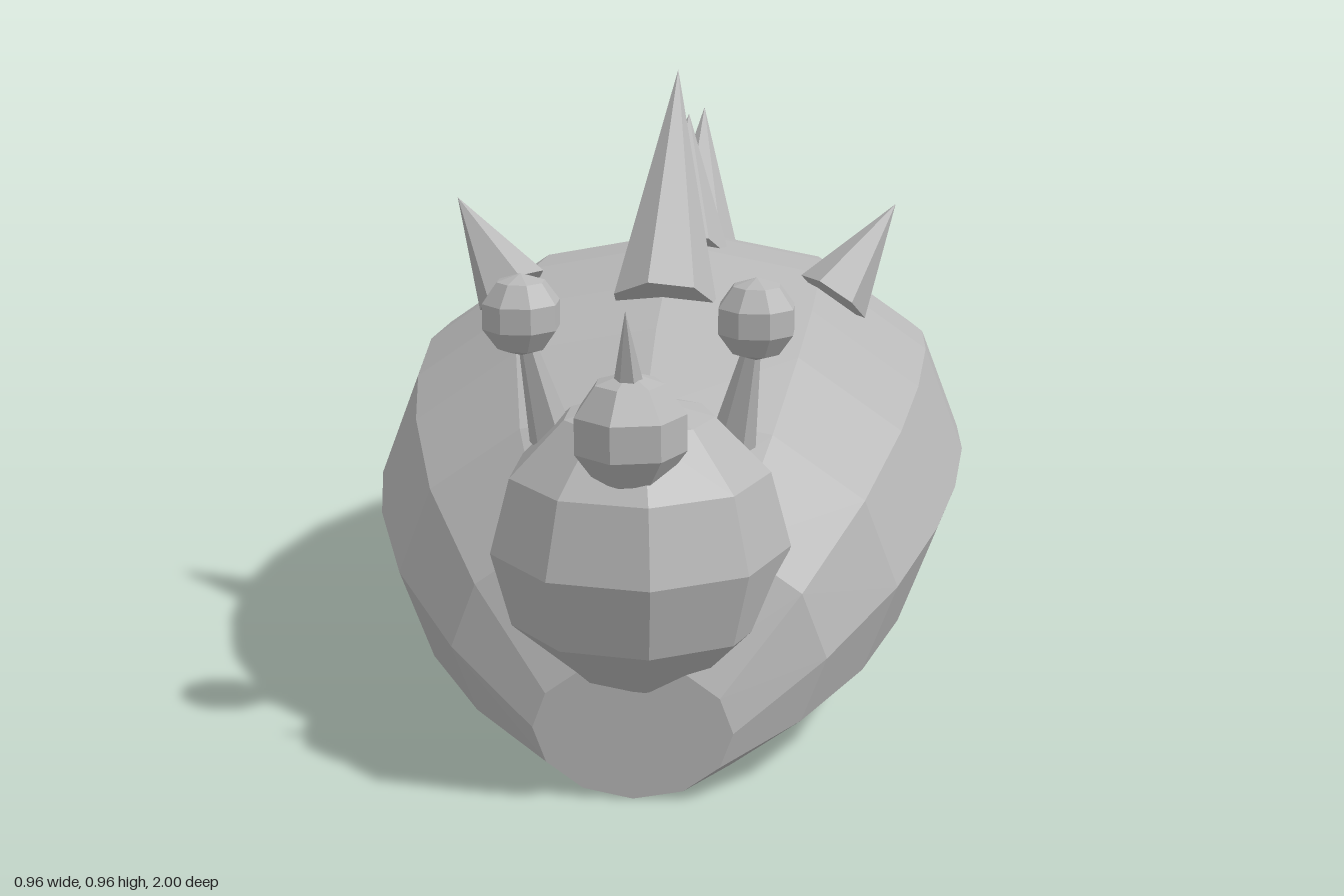
import * as THREE from 'three';

export function createModel() {
  const model = new THREE.Group();
  const grey = new THREE.MeshStandardMaterial({ color: 0xb8b8b8 });
  grey.name = 'plainGrey';
  grey.flatShading = true;

  const add = (name, geometry) => {
    const mesh = new THREE.Mesh(geometry, grey);
    mesh.name = name;
    model.add(mesh);
    return mesh;
  };

  // Tapered shaft from base to tip; a zero tip radius gives a spike
  const shaft = (name, base, tip, baseRadius, tipRadius, sides) => {
    const from = new THREE.Vector3(...base);
    const axis = new THREE.Vector3(...tip).sub(from);
    const length = axis.length();
    const geometry = new THREE.CylinderGeometry(tipRadius, baseRadius, length, sides);
    geometry.rotateY(Math.PI / 2).translate(0, length / 2, 0);
    const mesh = add(name, geometry);
    mesh.position.copy(from);
    mesh.quaternion.setFromUnitVectors(new THREE.Vector3(0, 1, 0), axis.normalize());
  };

  const ball = (name, position, radius, sides, rows, turn = Math.PI) => {
    const geometry = new THREE.SphereGeometry(radius, sides, rows).rotateY(turn);
    add(name, geometry).position.set(...position);
  };

  // Body: twelve-sided oval rings resting on the ground, as [z, half width, half height]
  const rings = [
    [0.885, 0.145, 0.105], [0.81, 0.275, 0.195], [0.69, 0.375, 0.265],
    [0.53, 0.435, 0.307], [0.38, 0.465, 0.328], [0.2, 0.48, 0.34],
    [0.04, 0.475, 0.335], [-0.16, 0.45, 0.316], [-0.33, 0.405, 0.285],
    [-0.53, 0.325, 0.229], [-1, 0.06, 0.048],
  ];
  const last = rings.length - 1;
  const body = new THREE.CylinderGeometry(1, 1, 1, 12, last).rotateX(Math.PI / 2);
  const points = body.attributes.position;
  for (let i = 0; i < points.count; i++) {
    const [z, halfWidth, halfHeight] = rings[Math.round((0.5 - points.getZ(i)) * last)];
    points.setXYZ(i, points.getX(i) * halfWidth, (points.getY(i) + 1) * halfHeight, z);
  }
  body.computeVertexNormals();
  add('body', body);

  // Head and nose
  ball('head', [0, 0.355, 0.78], 0.22, 9, 6);
  ball('nose', [0, 0.555, 0.9], 0.085, 7, 5);
  shaft('noseHorn', [0, 0.6, 0.9], [0, 0.735, 0.943], 0.026, 0, 6);

  // Row of spikes along the back, as [base y, base z, tip y, tip z]
  const backSpikes = [
    [0.625, 0.41, 0.965, 0.16], [0.645, 0.125, 0.863, -0.045],
    [0.565, -0.182, 0.828, -0.378], [0.435, -0.497, 0.607, -0.62],
  ];
  backSpikes.forEach(([y, z, tipY, tipZ], i) =>
    shaft('backSpike' + (i + 1), [0, y, z], [0, tipY, tipZ], 0.084, 0, 7));

  // Mirrored eyes on stalks and shoulder spikes
  for (const [side, s] of [['left', 1], ['right', -1]]) {
    shaft(side + 'EyeStalk', [s * 0.132, 0.495, 0.737], [s * 0.168, 0.68, 0.78], 0.034, 0.008, 6);
    ball(side + 'Eye', [s * 0.168, 0.69, 0.78], 0.06, 8, 5, Math.PI / 8);
    shaft(side + 'ShoulderSpike', [s * 0.263, 0.615, 0.285], [s * 0.361, 0.757, 0.222], 0.062, 0, 6);
  }

  return model;
}
